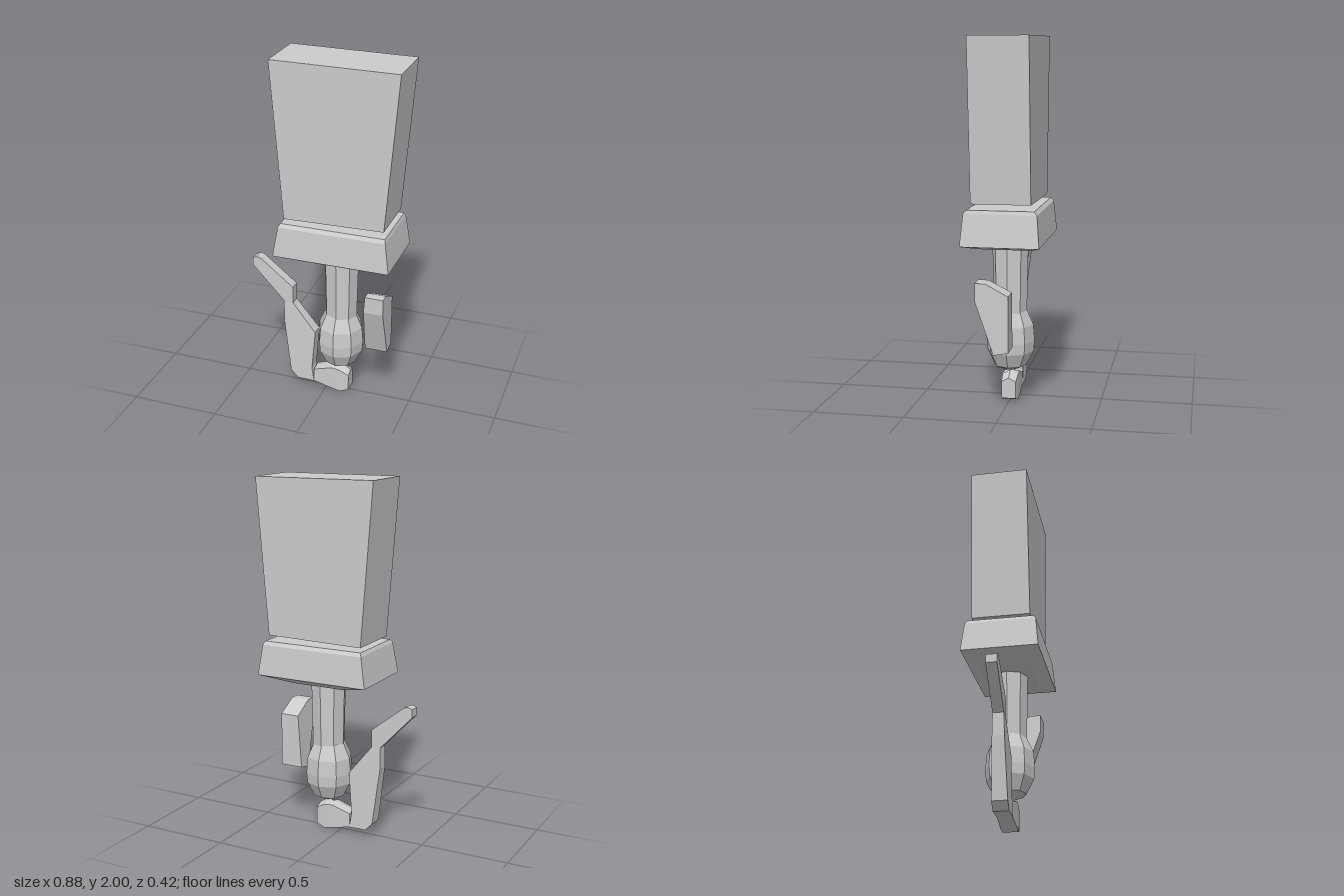
import * as THREE from 'three';

const material = new THREE.MeshStandardMaterial({ color: 0xcccccc, flatShading: true });

function add(group, name, geometry) {
  const mesh = new THREE.Mesh(geometry, material);
  mesh.name = name;
  group.add(mesh);
  return mesh;
}

// Extrudes an outline, centred on its thickness
function slab(points, depth) {
  const shape = new THREE.Shape(points.map(([x, y]) => new THREE.Vector2(x, y)));
  return new THREE.ExtrudeGeometry(shape, { depth, bevelEnabled: false }).translate(0, 0, -depth / 2);
}

// Moves each vertex by a rule
function reshape(geometry, rule) {
  const p = geometry.attributes.position;
  const v = new THREE.Vector3();
  for (let i = 0; i < p.count; i++) {
    rule(v.fromBufferAttribute(p, i));
    p.setXYZ(i, v.x, v.y, v.z);
  }
  geometry.computeVertexNormals();
  return geometry;
}

// Joins rings of corners into a closed faceted solid
function loft(rings) {
  const n = rings[0].length;
  const index = [];
  for (let r = 0; r < rings.length - 1; r++) {
    for (let j = 0; j < n; j++) {
      const a = r * n + j, b = r * n + (j + 1) % n;
      index.push(a, b, b + n, a, b + n, a + n);
    }
  }
  const end = (rings.length - 1) * n;
  for (let j = 1; j < n - 1; j++) {
    index.push(0, j + 1, j, end, end + j, end + j + 1);
  }
  const geometry = new THREE.BufferGeometry();
  geometry.setAttribute('position', new THREE.Float32BufferAttribute(rings.flat(2), 3));
  geometry.setIndex(index);
  const faceted = geometry.toNonIndexed();
  faceted.computeVertexNormals();
  return faceted;
}

export function createModel() {
  const group = new THREE.Group();

  // Broad tapering block at the top
  add(group, 'blade', slab([[-0.195, 1.12], [0.37, 1.13], [0.44, 1.995], [-0.265, 2]], 0.32));

  // Flared collar: y, left x, right x, half depth
  const collar = [
    [0.87, -0.07, 0.24, 0.14],
    [0.91, -0.245, 0.415, 0.21],
    [1.08, -0.217, 0.39, 0.195],
    [1.1, -0.207, 0.383, 0.18],
  ];
  add(group, 'collar', loft(collar.map(([y, l, r, z]) =>
    [[l, y, z], [r, y, z], [r, y, -z], [l, y, -z]])));

  // Eight-sided grip
  add(group, 'grip', new THREE.CylinderGeometry(0.1, 0.092, 0.39, 8)).position.set(0.083, 0.685, 0);

  // Faceted pommel
  const profile = [[0, 0.17], [0.025, 0.172], [0.09, 0.2], [0.13, 0.28], [0.135, 0.34],
    [0.128, 0.43], [0.09, 0.515], [0, 0.52]];
  const pommel = new THREE.LatheGeometry(profile.map(([r, y]) => new THREE.Vector2(r, y)), 8);
  add(group, 'pommel', pommel).position.x = 0.08;

  // Ridged foot under the pommel: x, bottom y, shoulder y, ridge y, half depth
  const foot = [
    [-0.07, 0.035, 0.115, 0.122, 0.04],
    [0.04, 0.01, 0.15, 0.158, 0.044],
    [0.09, 0.0, 0.143, 0.17, 0.044],
    [0.142, 0.02, 0.115, 0.135, 0.04],
  ];
  add(group, 'foot', loft(foot.map(([x, b, s, t, z]) =>
    [[x, b, z], [x, b, -z], [x, s, -z], [x, t, 0], [x, s, z]])));

  // Bent finger guard, a little thicker towards the bottom
  const finger = slab([[-0.17, 0.037], [-0.07, 0.035], [-0.083, 0.12], [-0.064, 0.36],
    [-0.2, 0.53], [-0.2, 0.63], [-0.395, 0.785], [-0.42, 0.79], [-0.443, 0.78],
    [-0.443, 0.735], [-0.255, 0.535], [-0.255, 0.41], [-0.213, 0.08]], 0.06);
  add(group, 'fingerGuard', reshape(finger, (v) => {
    v.z *= 1 + 0.4 * THREE.MathUtils.clamp((0.5 - v.y) / 0.4, 0, 1);
  }));

  // Thumb block beside the pommel, its inner face leaning inwards at the bottom
  const thumb = slab([[-0.14, 0.71], [-0.085, 0.71], [0.04, 0.645], [0.04, 0.34],
    [-0.04, 0.325], [-0.14, 0.615]], 0.12).rotateY(Math.PI / 2);
  add(group, 'thumbBlock', reshape(thumb, (v) => {
    v.x = v.x > 0 ? 0.37 : 0.24 + 0.025 * (v.y - 0.325) / 0.385;
  }));

  return group;
}
